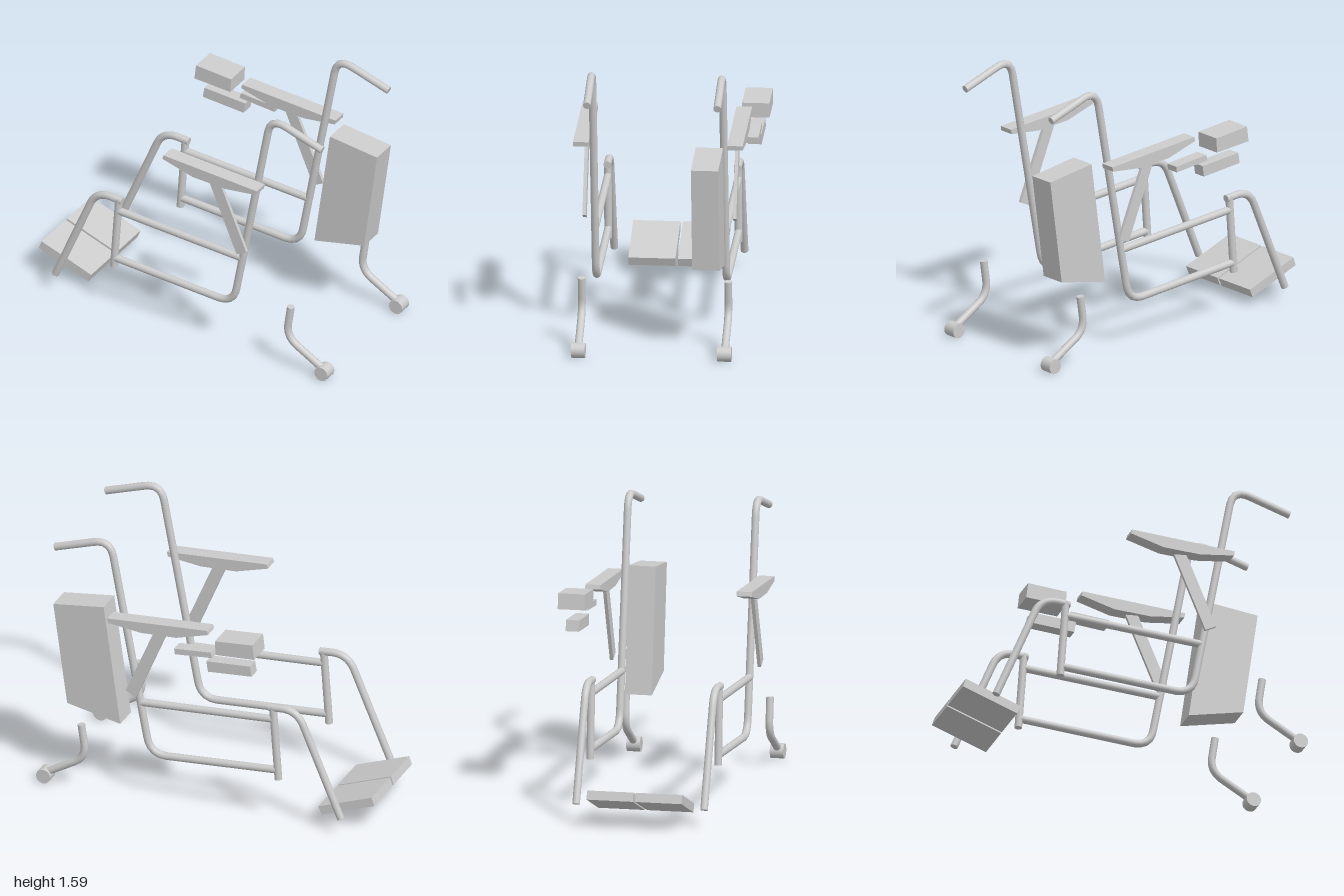
import * as THREE from 'three';

const material = new THREE.MeshStandardMaterial({ color: 0xcccccc });
const RADIUS = 0.022;

function addMesh(parent, name, geometry) {
  const mesh = new THREE.Mesh(geometry, material);
  mesh.name = name;
  parent.add(mesh);
  return mesh;
}

// Flat-sided block: a side profile in x/y, extruded between two z values
function addBlock(parent, name, profile, z0, z1) {
  const shape = new THREE.Shape(profile.map(([x, y]) => new THREE.Vector2(x, y)));
  const geometry = new THREE.ExtrudeGeometry(shape, { depth: Math.abs(z1 - z0), bevelEnabled: false });
  geometry.translate(0, 0, Math.min(z0, z1));
  addMesh(parent, name, geometry);
}

// Capped round tube in the plane z, with each inner corner rounded by `trim`
function addTube(parent, name, points, z, trim = 0.1) {
  const group = new THREE.Group();
  group.name = name;
  const p = points.map(([x, y]) => new THREE.Vector3(x, y, z));
  const path = new THREE.CurvePath();
  let start = p[0];
  for (let i = 1; i < p.length - 1; i++) {
    const before = p[i].clone().add(p[i - 1].clone().sub(p[i]).setLength(trim));
    const after = p[i].clone().add(p[i + 1].clone().sub(p[i]).setLength(trim));
    path.add(new THREE.LineCurve3(start, before));
    path.add(new THREE.QuadraticBezierCurve3(before, p[i], after));
    start = after;
  }
  const end = p[p.length - 1];
  path.add(new THREE.LineCurve3(start, end));
  const segments = p.length > 2 ? 70 : 1;
  addMesh(group, name + 'Body', new THREE.TubeGeometry(path, segments, RADIUS, 16));
  for (const [at, inner] of [[p[0], p[1]], [end, p[p.length - 2]]]) {
    const cap = addMesh(group, name + 'Cap', new THREE.CircleGeometry(RADIUS, 16));
    cap.position.copy(at);
    cap.lookAt(at.clone().multiplyScalar(2).sub(inner));
  }
  parent.add(group);
}

// One side of the chair; s = 1 for left, -1 for right
function createSide(s) {
  const side = new THREE.Group();
  side.name = s > 0 ? 'leftSide' : 'rightSide';
  const z = s * 0.37;

  // Tubular frame with push handle and leg support
  addTube(side, 'mainFrame',
    [[0.917, 1.48], [0.58, 1.592], [0.334, 0.274], [-0.44, 0.332]], z, 0.105);
  addTube(side, 'seatRail', [[-0.42, 0.652], [0.398, 0.594]], z);
  addTube(side, 'frontPost', [[-0.418, 0.735], [-0.452, 0.275]], z);
  addTube(side, 'legSupport', [[-0.395, 0.722], [-0.566, 0.737], [-0.835, 0.1]], z);

  // Footplate
  addBlock(side, 'footplate',
    [[-1, 0.167], [-0.677, 0.047], [-0.657, 0.096], [-0.983, 0.217]], s * 0.007, s * 0.275);

  // Armrest
  addBlock(side, 'armPad',
    [[-0.067, 1.17], [0.13, 1.112], [0.345, 1.1], [0.548, 1.123], [0.553, 1.15], [-0.06, 1.195]],
    s * 0.393, s * 0.482);
  addBlock(side, 'armStrut',
    [[0.206, 1.1], [0.393, 0.656], [0.457, 0.688], [0.28, 1.105]], s * 0.417, s * 0.437);

  // Rear caster
  addTube(side, 'casterFork',
    [[0.738, 0.405], [0.708, 0.2], [0.938, 0.065]], s * 0.416, 0.085);
  const wheel = addMesh(side, 'casterWheel', new THREE.CylinderGeometry(0.043, 0.043, 0.078, 24));
  wheel.rotation.x = Math.PI / 2;
  wheel.position.set(0.957, 0.043, s * 0.415);
  return side;
}

export function createModel() {
  const model = new THREE.Group();
  model.name = 'wheelchairFrame';

  // The two sides mirror about a plane slightly left of centre
  const sides = new THREE.Group();
  sides.name = 'sides';
  sides.position.z = 0.047;
  sides.add(createSide(1), createSide(-1));
  model.add(sides);

  // Control unit beside the right armrest
  const control = new THREE.Group();
  control.name = 'controlUnit';
  addBlock(control, 'controlBox',
    [[-0.388, 1.12], [-0.152, 1.104], [-0.147, 1.19], [-0.377, 1.21]], -0.525, -0.37);
  addBlock(control, 'controlBase',
    [[-0.356, 0.987], [-0.088, 0.965], [-0.078, 1.03], [-0.345, 1.05]], -0.486, -0.409);
  addBlock(control, 'controlArm',
    [[-0.115, 1.057], [0.115, 1.035], [0.12, 1.07], [-0.105, 1.09]], -0.486, -0.409);
  model.add(control);

  // Battery pack behind the backrest
  addBlock(model, 'batteryPack',
    [[0.516, 0.432], [0.842, 0.5], [0.927, 1.115], [0.618, 1.157]], -0.329, -0.174);

  return model;
}
